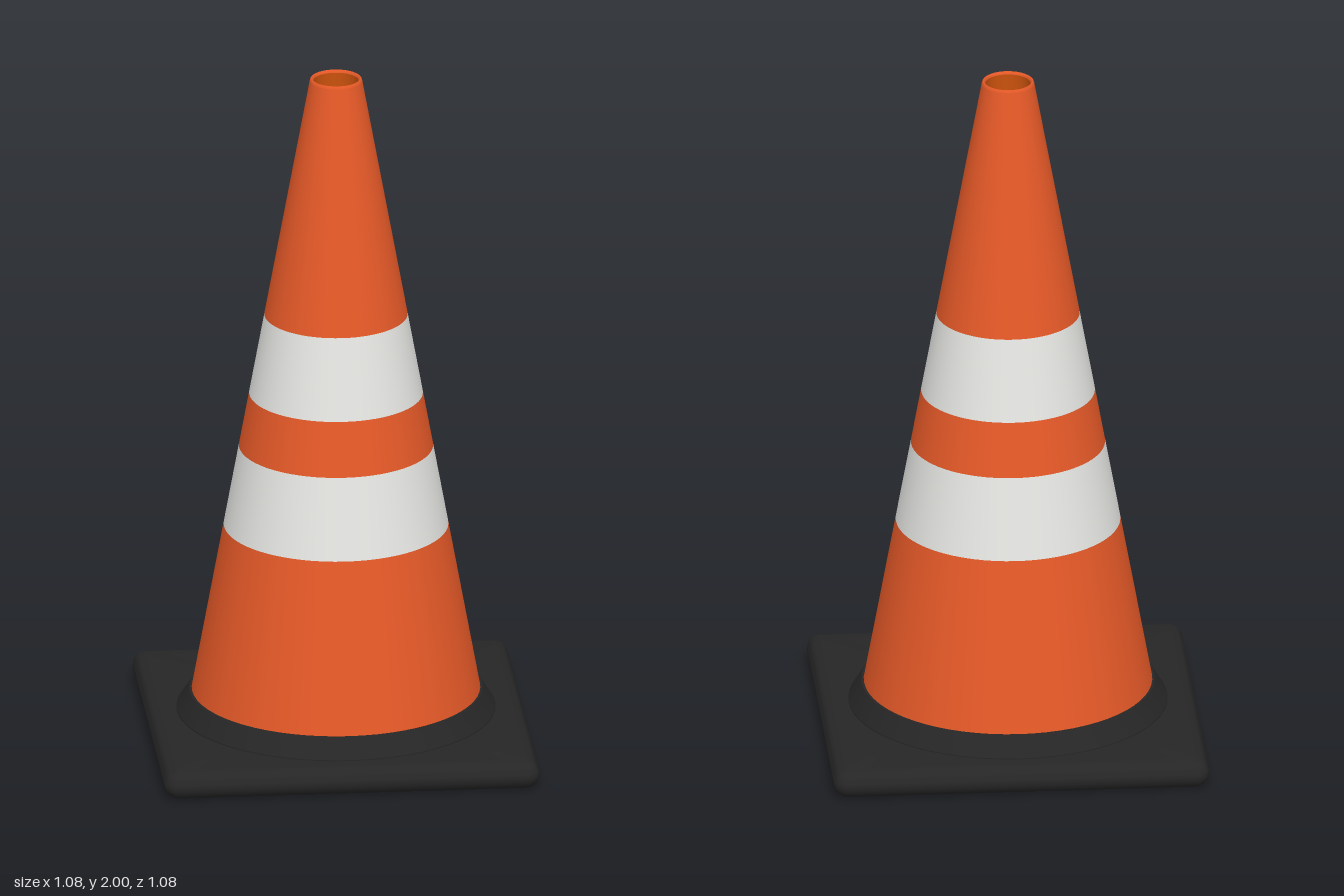
import * as THREE from 'three';
import { toCreasedNormals } from 'three/addons/utils/BufferGeometryUtils.js';

const SEGMENTS = 64;
const BASE_TOP = 0.08, COLLAR_TOP = 0.14, TOP = 2;
const HOLE = 0.41;

// Outer radius of the cone at height y
const coneRadius = (y) => THREE.MathUtils.mapLinear(y, COLLAR_TOP, TOP, 0.414, 0.074);

// Square plate with rounded edges and a round hole, lofted ring by ring
function plateGeometry(half, round, height, hole) {
  // Outline as core points plus outward normals, so it can be inset evenly
  const core = half - round, outline = [];
  for (let side = 0; side < 4; side++) {
    const a = side * Math.PI / 2, c = Math.cos(a), s = Math.sin(a);
    for (let i = 0; i < 20; i++) {
      const t = (i / 20 * 2 - 1) * core;
      outline.push({ x: core * c - t * s, z: core * s + t * c, nx: c, nz: s });
    }
    for (let i = 0; i < 8; i++) {
      const b = a + i / 8 * Math.PI / 2;
      outline.push({ x: core * (c - s), z: core * (s + c), nx: Math.cos(b), nz: Math.sin(b) });
    }
  }
  const square = (r, y) => outline.map((p) => [p.x + p.nx * r, y, p.z + p.nz * r]);
  const circle = (y) => outline.map((p) => {
    const a = Math.atan2(p.z + p.nz * round, p.x + p.nx * round);
    return [Math.cos(a) * hole, y, Math.sin(a) * hole];
  });
  const rings = [circle(height)];
  const edge = Math.min(round, height / 2);
  for (let i = 0; i <= 12; i++) {
    const b = Math.PI / 2 - i / 12 * Math.PI;
    rings.push(square(round - edge + Math.cos(b) * edge, height / 2 + Math.sin(b) * edge));
  }
  rings.push(circle(0), circle(height));

  const n = outline.length, index = [];
  for (let r = 0; r < rings.length - 1; r++) {
    for (let i = 0; i < n; i++) {
      const a = r * n + i, b = r * n + (i + 1) % n;
      index.push(a, b, a + n, b, b + n, a + n);
    }
  }
  const geometry = new THREE.BufferGeometry();
  geometry.setAttribute('position', new THREE.Float32BufferAttribute(rings.flat(2), 3));
  geometry.setIndex(index);
  return toCreasedNormals(geometry, 0.6);
}

export function createModel() {
  const group = new THREE.Group();
  group.name = 'trafficCone';

  const material = (name, color) => {
    const m = new THREE.MeshStandardMaterial({ color });
    m.name = name;
    return m;
  };
  const orange = material('orange', 0xe85a28);
  const white = material('white', 0xe8e8e5);
  const black = material('black rubber', 0x262626);
  const innerOrange = material('inner orange', 0xd9580f);

  const add = (name, geometry, mat) => {
    const mesh = new THREE.Mesh(geometry, mat);
    mesh.name = name;
    group.add(mesh);
  };
  const lathe = (points) =>
    new THREE.LatheGeometry(points.map(([r, y]) => new THREE.Vector2(r, y)), SEGMENTS);

  // Rubber base and the sloping collar around the cone's foot
  add('base', plateGeometry(0.54, 0.04, BASE_TOP, HOLE), black);
  add('collar', toCreasedNormals(lathe([
    [0.458, BASE_TOP - 0.002], [0.458, BASE_TOP + 0.003], [0.421, COLLAR_TOP], [0.41, COLLAR_TOP],
  ]), 0.4), black);

  // Cone wall in alternating bands
  const levels = [COLLAR_TOP - 0.01, 0.64, 0.88, 1.04, 1.28, TOP - 0.008];
  for (let i = 0; i < levels.length - 1; i++) {
    const [low, high] = [levels[i], levels[i + 1]];
    const striped = i % 2 === 1;
    add(striped ? 'reflectiveBand' : 'coneBody',
      lathe([[coneRadius(low), low], [coneRadius(high), high]]), striped ? white : orange);
  }

  // Softened lip around the open top
  const lip = coneRadius(TOP - 0.008);
  add('topLip', lathe([
    [lip, TOP - 0.008], [lip - 0.002, TOP - 0.002], [lip - 0.005, TOP],
    [lip - 0.009, TOP - 0.002], [lip - 0.011, TOP - 0.008],
  ]), orange);

  // Hollow inside of the cone
  add('coneInside', lathe([[lip - 0.011, TOP - 0.008], [HOLE, BASE_TOP]]), innerOrange);

  return group;
}
